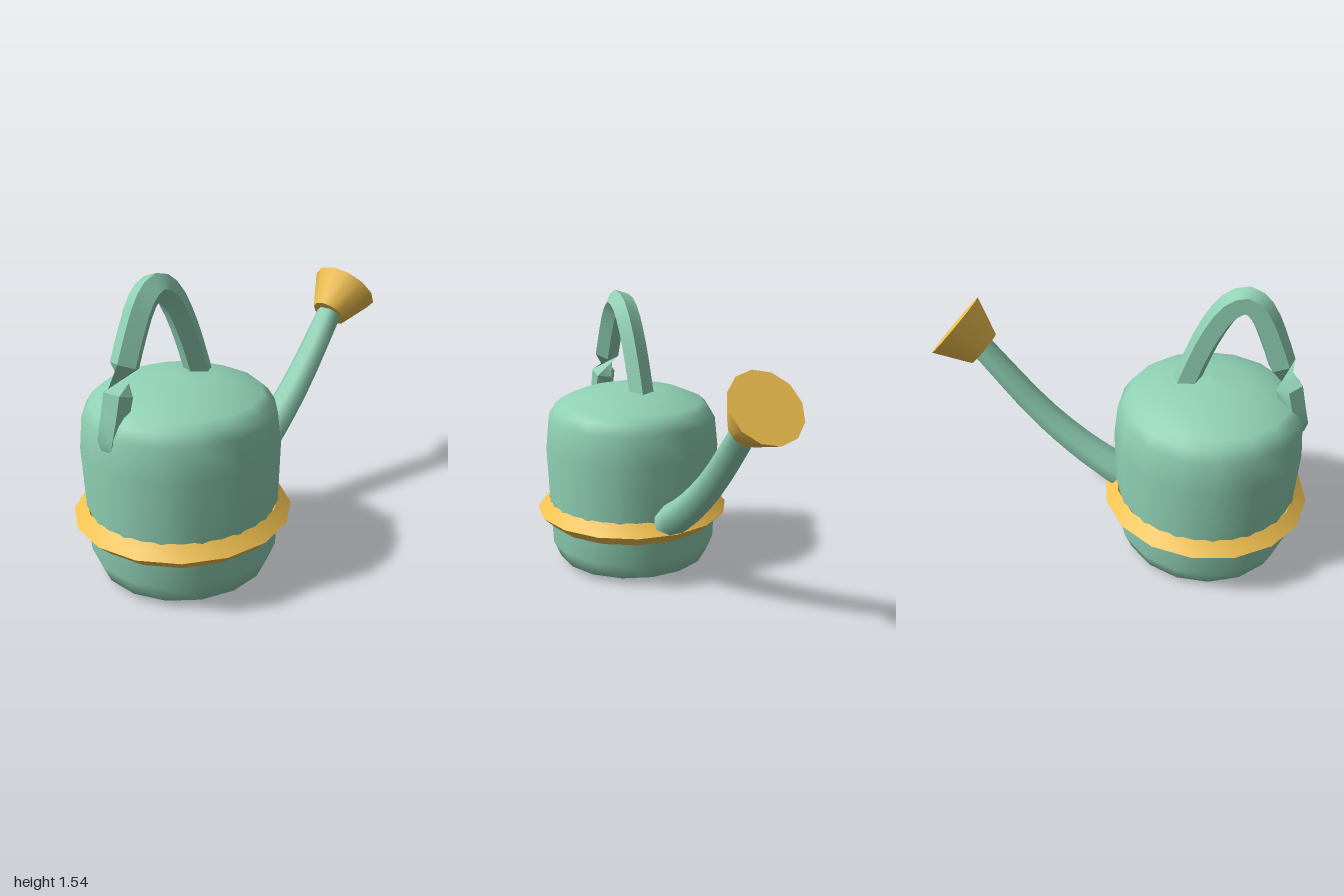
import * as THREE from 'three';
import { toCreasedNormals } from 'three/addons/utils/BufferGeometryUtils.js';

const green = new THREE.MeshStandardMaterial({ color: 0x8fd0b4, side: THREE.DoubleSide });
const gold = new THREE.MeshStandardMaterial({ color: 0xf0c04f, side: THREE.DoubleSide });
const BODY_X = -0.455;

function add(group, name, geometry, material) {
  const mesh = new THREE.Mesh(geometry, material);
  mesh.name = name;
  group.add(mesh);
  return mesh;
}

const profile = (pairs) => pairs.map(([r, y]) => new THREE.Vector2(r, y));

// Sweeps a regular polygon along a path in the xy plane.
// Each station is [x, y, radius in plane, radius along z, twist].
function sweep(stations, sides, phase, crease) {
  const pos = [], index = [], last = stations.length - 1;
  stations.forEach(([x, y, rn, rz, twist = 0], i) => {
    const a = stations[Math.max(i - 1, 0)], b = stations[Math.min(i + 1, last)];
    const t = new THREE.Vector2(b[0] - a[0], b[1] - a[1]).normalize();
    for (let j = 0; j < sides; j++) {
      const ang = phase + twist + (j / sides) * Math.PI * 2;
      const n = Math.sin(ang) * rn;
      pos.push(x + t.y * n, y - t.x * n, Math.cos(ang) * rz);
      if (i < last) {
        const k = (j + 1) % sides, p = i * sides, q = p + sides;
        index.push(p + j, p + k, q + j, p + k, q + k, q + j);
      }
    }
  });
  // End caps
  for (let j = 1; j < sides - 1; j++) {
    const e = last * sides;
    index.push(0, j + 1, j, e, e + j, e + j + 1);
  }
  const g = new THREE.BufferGeometry();
  g.setAttribute('position', new THREE.Float32BufferAttribute(pos, 3));
  g.setIndex(index);
  return toCreasedNormals(g, crease);
}

export function createModel() {
  const model = new THREE.Group();
  model.name = 'wateringCan';

  // Rounded tank
  const body = add(model, 'body', new THREE.LatheGeometry(profile([
    [0, 0], [0.345, 0.004], [0.43, 0.035], [0.47, 0.13], [0.48, 0.38], [0.491, 0.69],
    [0.474, 0.85], [0.44, 0.905], [0.405, 0.938], [0.285, 0.987], [0.17, 1.014], [0, 1.03],
  ]), 16, Math.PI / 16), green);
  body.position.x = BODY_X;

  // Band with a sharp outer edge
  const band = add(model, 'band', toCreasedNormals(new THREE.LatheGeometry(profile([
    [0.43, 0.315], [0.482, 0.253], [0.546, 0.315], [0.482, 0.377], [0.43, 0.315],
  ]), 16), 0.6), gold);
  band.position.x = BODY_X;

  // Curved, tapering spout
  const spoutCurve = new THREE.CatmullRomCurve3([
    [0.02, 0.37], [0.22, 0.51], [0.45, 0.72], [0.74, 1.07],
  ].map(([x, y]) => new THREE.Vector3(x, y, 0)));
  const spout = spoutCurve.getPoints(8).map((p, i) => {
    const k = i / 8;
    return [p.x, p.y, 0.087 - 0.028 * k, 0.104 - 0.032 * k];
  });
  add(model, 'spout', sweep(spout, 8, Math.PI / 8, 0.9), green);

  // Flared sprinkler head
  const rose = add(model, 'sprinklerHead',
    toCreasedNormals(new THREE.CylinderGeometry(0.185, 0.098, 0.19, 12), 0.6), gold);
  rose.position.set(0.807, 1.125, 0);
  rose.rotation.z = -Math.atan2(0.28, 0.24);

  // Arched five-sided handle
  const arch = new THREE.CatmullRomCurve3([
    [-0.31, 0.95], [-0.375, 1.15], [-0.445, 1.32], [-0.52, 1.435], [-0.595, 1.473],
    [-0.66, 1.425], [-0.725, 1.3], [-0.785, 1.15],
  ].map(([x, y]) => new THREE.Vector3(x, y, 0)));
  const handle = arch.getPoints(14).map((p) => [p.x, p.y, 0.07, 0.07]);
  // Half twist, then the lower end resting against the tank
  handle.push(
    [-0.835, 1.03, 0.07, 0.07, Math.PI],
    [-0.865, 0.92, 0.065, 0.07, Math.PI],
    [-0.893, 0.82, 0.062, 0.066, Math.PI],
    [-0.905, 0.775, 0.035, 0.045, Math.PI],
  );
  add(model, 'handle', sweep(handle, 5, 0, 0.65), green);

  return model;
}
